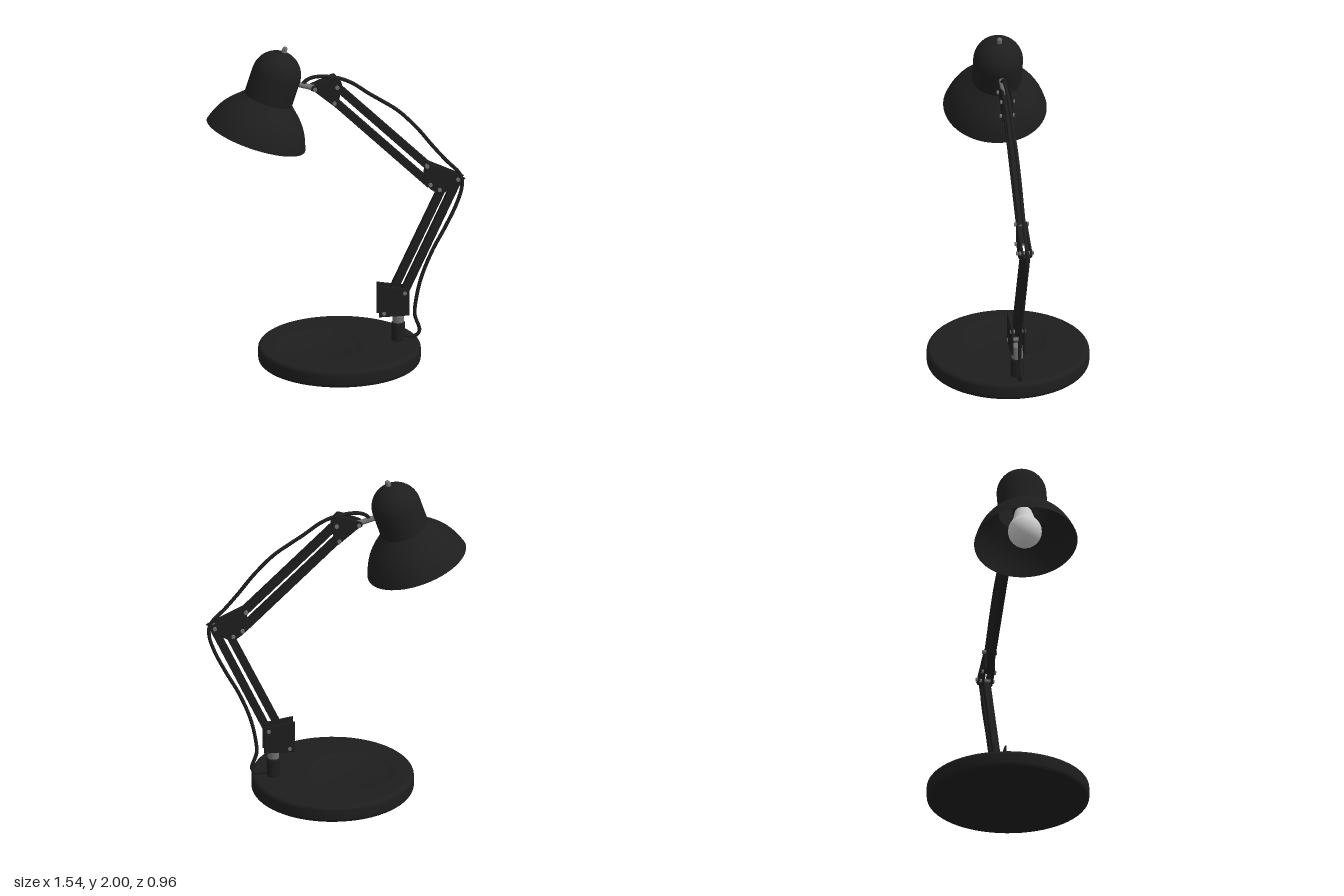
import * as THREE from 'three';
import { toCreasedNormals } from 'three/addons/utils/BufferGeometryUtils.js';

const paint = (color, side = THREE.FrontSide) => new THREE.MeshStandardMaterial({ color, side });
const black = paint(0x1e1e1e);
const blackThin = paint(0x1e1e1e, THREE.DoubleSide);
const steel = paint(0x707070);
const glass = paint(0xcccccc);

const vec2 = (list) => list.map(([x, y]) => new THREE.Vector2(x, y));

function add(parent, name, geometry, material, x = 0, y = 0, z = 0) {
  const mesh = new THREE.Mesh(geometry, material);
  mesh.name = name;
  mesh.position.set(x, y, z);
  parent.add(mesh);
  return mesh;
}

const lathe = (points, crease = 0.6) =>
  toCreasedNormals(new THREE.LatheGeometry(vec2(points), 64), crease);

// Quarter-round points, from angle a to angle b
function arc(cx, cy, r, a, b, n = 6) {
  return Array.from({ length: n + 1 }, (_, i) => {
    const t = a + ((b - a) * i) / n;
    return [cx + r * Math.cos(t), cy + r * Math.sin(t)];
  });
}

// Flat bar between two points in the arm plane
function bar(parent, name, [ax, ay], [bx, by], width = 0.045, depth = 0.04) {
  const geometry = new THREE.BoxGeometry(Math.hypot(bx - ax, by - ay), width, depth);
  const mesh = add(parent, name, geometry, black, (ax + bx) / 2, (ay + by) / 2);
  mesh.rotation.z = Math.atan2(by - ay, bx - ax);
}

// Mirrored pair of joint plates with rivets through them
function joint(parent, name, outline, rivets, plateZ, rivetHalf) {
  const group = new THREE.Group();
  group.name = name;
  const bevel = 0.003;
  const geometry = new THREE.ExtrudeGeometry(new THREE.Shape(vec2(outline)), {
    depth: 0.006, bevelThickness: bevel, bevelSize: bevel, bevelOffset: -bevel, bevelSegments: 2,
  });
  geometry.translate(0, 0, -0.003);
  for (const side of [-1, 1]) add(group, name + 'Plate', geometry, black, 0, 0, side * plateZ);
  for (const [x, y] of rivets) {
    const pin = new THREE.CylinderGeometry(0.012, 0.012, rivetHalf * 2, 16);
    add(group, 'rivet', pin.rotateX(Math.PI / 2), steel, x, y);
  }
  parent.add(group);
}

function buildBase(parent) {
  const base = new THREE.Group();
  base.name = 'base';
  base.position.x = 0.02;
  const h = 0.105, r = 0.48, round = 0.025, dishX = -0.12, dishR = 0.26;

  // Rounded disc body, open at the top
  add(base, 'baseBody', lathe([
    [0, 0],
    ...arc(r - round, round, round, -Math.PI / 2, 0),
    ...arc(r - round, h - round, round, 0, Math.PI / 2),
  ]), black);

  // Top face around the shallow dish
  const top = new THREE.Shape().absarc(0, 0, r - round, 0, Math.PI * 2);
  top.holes.push(new THREE.Path().absarc(dishX, 0, dishR, 0, Math.PI * 2, true));
  add(base, 'baseTop', new THREE.ShapeGeometry(top, 32).rotateX(-Math.PI / 2), black, 0, h);
  add(base, 'dish', lathe([
    [dishR, h], [0.245, h - 0.002], [0.23, h - 0.008], [0.215, h - 0.012], [0, h - 0.012],
  ]), black, dishX);
  parent.add(base);

  // Swivel post
  add(parent, 'post', lathe([
    [0.04, 0.1], [0.04, 0.215], [0.036, 0.22], [0, 0.22],
  ]), black, 0.372);
  add(parent, 'swivelPin', new THREE.CylinderGeometry(0.034, 0.034, 0.1, 32), steel, 0.372, 0.25);
}

function buildArms(parent) {
  bar(parent, 'lowerArmInner', [0.335, 0.41], [0.625, 1.025]);
  bar(parent, 'lowerArmOuter', [0.405, 0.40], [0.725, 1.085]);
  bar(parent, 'upperArmTop', [-0.005, 1.735], [0.545, 1.195]);
  bar(parent, 'upperArmBottom', [-0.015, 1.64], [0.56, 1.075]);

  joint(parent, 'baseBracket',
    [[0.25, 0.267], [0.432, 0.267], [0.432, 0.432], [0.25, 0.465]],
    [[0.405, 0.41], [0.28, 0.29]], 0.036, 0.046);
  joint(parent, 'elbow',
    [[0.525, 1.09], [0.56, 1.05], [0.61, 1.015], [0.64, 1.02], [0.735, 1.075], [0.77, 1.105],
      [0.73, 1.128], [0.545, 1.218], [0.535, 1.205]],
    [[0.54, 1.198], [0.725, 1.103], [0.56, 1.08], [0.615, 1.045]], 0.026, 0.043);
  joint(parent, 'headBracket',
    [[-0.155, 1.72], [-0.13, 1.708], [-0.015, 1.61], [0.005, 1.6], [0.03, 1.745], [0.025, 1.765],
      [-0.01, 1.8], [-0.03, 1.795], [-0.15, 1.745]],
    [[0, 1.732], [-0.016, 1.632], [-0.133, 1.728]], 0.026, 0.043);
}

function buildHead(parent) {
  const head = new THREE.Group();
  head.name = 'head';
  head.position.set(-0.481, 1.4525, 0);
  head.rotation.z = -0.317;

  // Bell shade running up into the domed housing
  const bell = new THREE.SplineCurve(vec2([
    [0.306, 0], [0.283, 0.064], [0.252, 0.122], [0.215, 0.168], [0.18, 0.203], [0.147, 0.236],
  ])).getPoints(24).map((p) => [p.x, p.y]);
  add(head, 'shade', lathe([
    ...bell,
    ...arc(0, 0.39, 0.147, 0, Math.PI / 2, 16),
  ], 0.4), blackThin);

  // Bulb, its socket, and the switch on top
  add(head, 'bulb', new THREE.SphereGeometry(0.1, 32, 24), glass, 0, 0.085);
  add(head, 'bulbNeck', new THREE.CylinderGeometry(0.045, 0.075, 0.12, 32), glass, 0, 0.2);
  add(head, 'socket', new THREE.CylinderGeometry(0.06, 0.06, 0.2, 32), black, 0, 0.34);
  add(head, 'switchKnob', new THREE.CapsuleGeometry(0.015, 0.045, 6, 16), steel, 0, 0.536);
  parent.add(head);

  // Stub joining the housing to the arm
  const stub = new THREE.CylinderGeometry(0.017, 0.017, 0.13, 20).rotateZ(Math.PI / 2 - 0.3);
  add(parent, 'headStub', stub, steel, -0.185, 1.743);
}

function buildCable(parent) {
  const path = [
    [-0.21, 1.745], [-0.175, 1.78], [-0.12, 1.796], [0, 1.782], [0.09, 1.745], [0.195, 1.67],
    [0.275, 1.617], [0.37, 1.55], [0.487, 1.43], [0.577, 1.315], [0.656, 1.22], [0.745, 1.12],
    [0.755, 1.05], [0.725, 0.945], [0.656, 0.8], [0.577, 0.653], [0.513, 0.495], [0.481, 0.362],
    [0.472, 0.257], [0.5, 0.155], [0.476, 0.125], [0.38, 0.137],
  ].map(([x, y]) => new THREE.Vector3(x, y, 0));
  const curve = new THREE.CatmullRomCurve3(path);
  add(parent, 'cable', new THREE.TubeGeometry(curve, 160, 0.011, 10), black);
}

export function createModel() {
  const lamp = new THREE.Group();
  lamp.name = 'deskLamp';
  buildBase(lamp);
  buildArms(lamp);
  buildHead(lamp);
  buildCable(lamp);
  return lamp;
}
